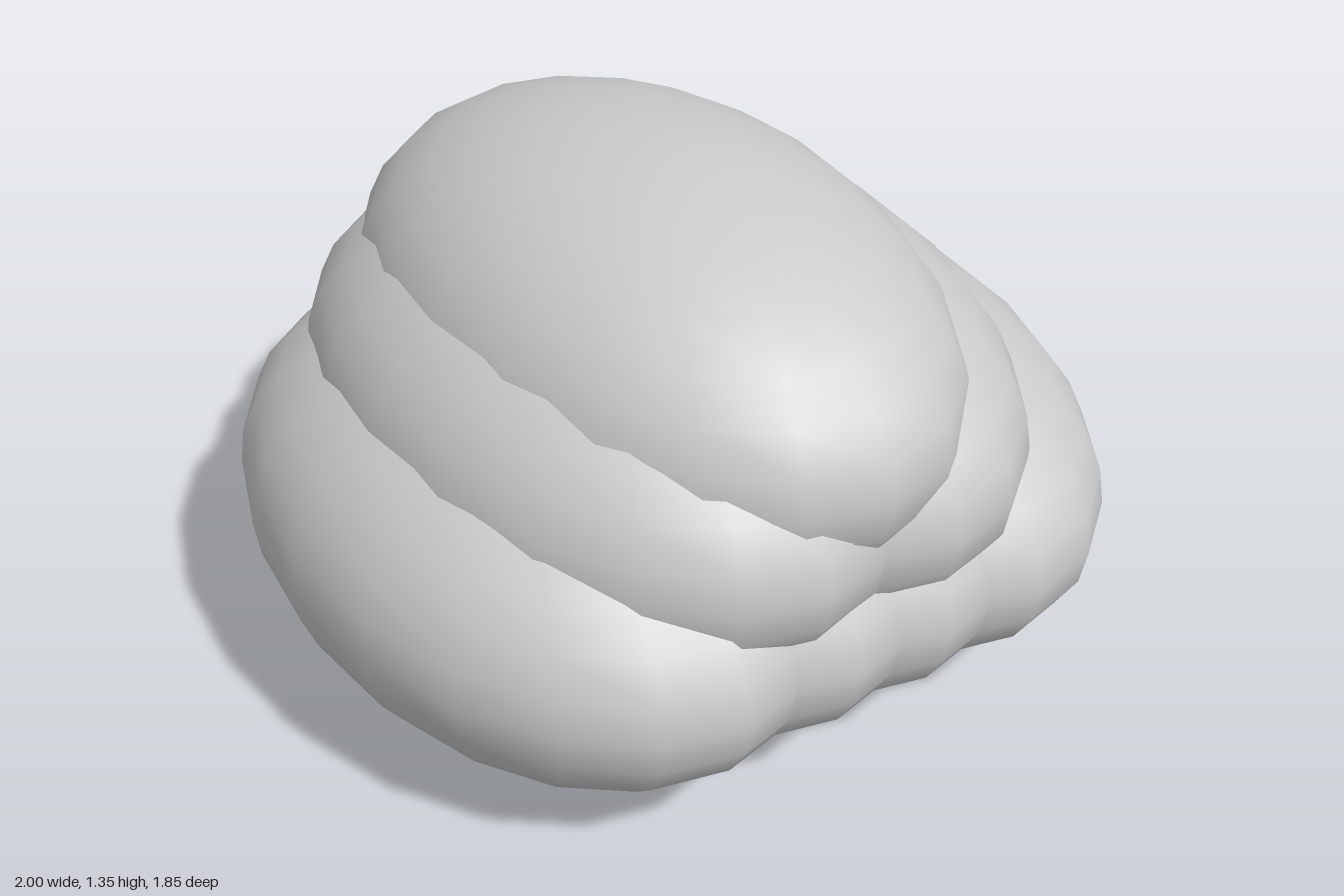
import * as THREE from 'three';

// A heap of seven identical overlapping ellipsoids lying along z, stacked 4-2-1.
export function createModel() {
  const group = new THREE.Group();
  group.name = 'stackedRolls';
  const material = new THREE.MeshStandardMaterial({ color: 0xcccccc });
  const geometry = new THREE.SphereGeometry(1, 20, 16);
  geometry.scale(0.6, 0.463, 0.925);

  // Rows from the ground up: centre height and x positions of each roll
  const rows = [
    { name: 'bottomRoll', y: 0.463, xs: [-0.4, -0.11, 0.14, 0.4] },
    { name: 'middleRoll', y: 0.71, xs: [-0.2, 0.14] },
    { name: 'topRoll', y: 0.885, xs: [-0.05] },
  ];
  for (const { name, y, xs } of rows) {
    xs.forEach((x, i) => {
      const roll = new THREE.Mesh(geometry, material);
      roll.name = xs.length > 1 ? name + (i + 1) : name;
      roll.position.set(x, y, 0);
      group.add(roll);
    });
  }
  return group;
}
